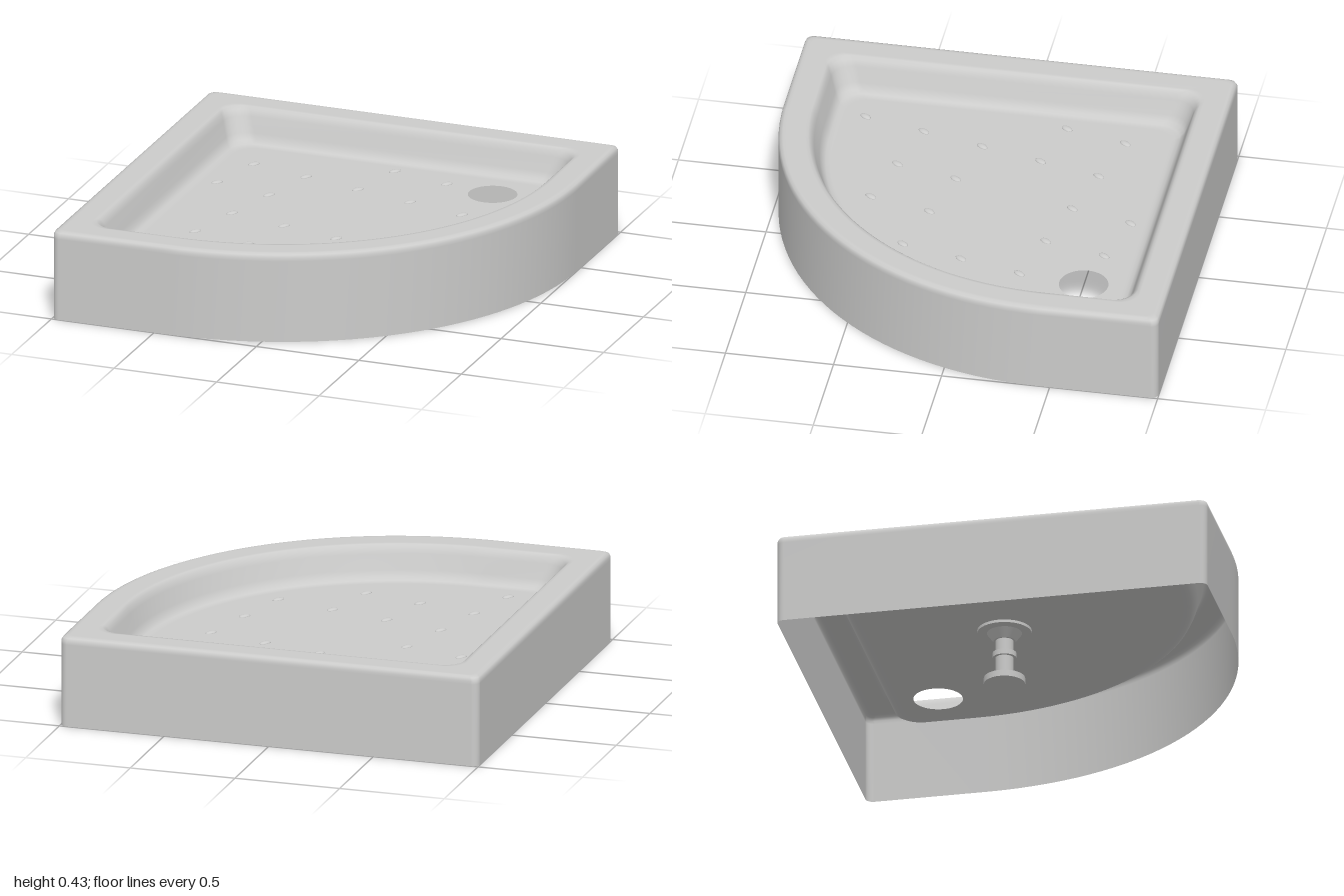
import * as THREE from 'three';

const ceramic = new THREE.MeshStandardMaterial({ color: 0xcccccb, side: THREE.DoubleSide });
ceramic.name = 'pale grey';

const FLOOR_Y = 0.27;
const CURVE_STEPS = 32, CORNER_STEPS = 6;
const bow = new THREE.CubicBezierCurve(
  new THREE.Vector2(1, -0.45), new THREE.Vector2(1, 0.365),
  new THREE.Vector2(0.365, 1), new THREE.Vector2(-0.45, 1));

// Quadrant outline as [x, z] points, moved inward by d, with three corners of radius r
function outline(d, r) {
  const pts = [];
  const corner = (sx, sz, start) => {
    for (let i = 0; i <= CORNER_STEPS; i++) {
      const a = start + (i / CORNER_STEPS) * Math.PI / 2;
      pts.push([sx * (1 - d - r) + r * Math.cos(a), sz * (1 - d - r) + r * Math.sin(a)]);
    }
  };
  corner(-1, -1, Math.PI);
  corner(1, -1, Math.PI * 1.5);
  for (let i = 0; i <= CURVE_STEPS; i++) {
    const p = bow.getPoint(i / CURVE_STEPS), t = bow.getTangent(i / CURVE_STEPS);
    pts.push([p.x - t.y * d, p.y + t.x * d]);
  }
  corner(-1, 1, Math.PI / 2);
  return pts;
}

// Skin between successive outlines, each given as [inset, height, corner radius]
function loft(profile) {
  const pos = [], index = [];
  let n = 0;
  for (const [d, y, r] of profile) {
    const ring = outline(d, r);
    n = ring.length;
    for (const [x, z] of ring) pos.push(x, y, z);
  }
  for (let k = 0; k < profile.length - 1; k++) {
    for (let i = 0; i < n; i++) {
      const a = k * n + i, b = k * n + (i + 1) % n;
      index.push(a, a + n, b, b, a + n, b + n);
    }
  }
  const g = new THREE.BufferGeometry();
  g.setAttribute('position', new THREE.Float32BufferAttribute(pos, 3));
  g.setIndex(index);
  g.computeVertexNormals();
  return g;
}

export function createModel() {
  const group = new THREE.Group();
  const add = (name, geometry, parent = group) => {
    const m = new THREE.Mesh(geometry, ceramic);
    m.name = name;
    parent.add(m);
    return m;
  };

  // Outer wall, rounded rim and sloping basin side
  add('wallAndRim', loft([
    [0, 0, 0.035], [0, 0.39, 0.035], [0, 0.405, 0.035], [0.006, 0.419, 0.035], [0.02, 0.425, 0.035],
    [0.035, 0.425, 0.035], [0.12, 0.425, 0.09], [0.135, 0.424, 0.1], [0.15, 0.412, 0.1], [0.162, 0.385, 0.1],
    [0.185, 0.315, 0.1], [0.198, 0.288, 0.1], [0.215, 0.274, 0.1], [0.235, FLOOR_Y, 0.1], [0.25, FLOOR_Y, 0.1],
  ]));

  // Basin floor with drain opening
  const shape = new THREE.Shape(outline(0.25, 0.1).map(([x, z]) => new THREE.Vector2(x, -z)));
  const drain = new THREE.Path();
  drain.absarc(0.542, 0.572, 0.113, 0, Math.PI * 2, true);
  shape.holes.push(drain);
  const floor = new THREE.ShapeGeometry(shape, 24);
  floor.rotateX(-Math.PI / 2);
  floor.translate(0, FLOOR_Y, 0);
  add('floor', floor);

  // Anti-slip studs on a slanted lattice: [row, columns]
  const studs = new THREE.Group();
  studs.name = 'studs';
  group.add(studs);
  const stud = new THREE.SphereGeometry(1, 16, 6, 0, Math.PI * 2, 0, Math.PI / 2);
  stud.scale(0.03, 0.009, 0.017);
  stud.rotateY(0.95);
  const rows = [[-1, [1, 2]], [0, [-1, 0, 1, 2, 3]], [1, [-1, 0, 3]], [2, [0, 1, 2, 3]], [3, [0, 1, 2]], [4, [0]]];
  for (const [j, columns] of rows) {
    for (const i of columns) {
      add('stud', stud, studs).position.set(-0.332 + 0.281 * i - 0.07 * j, FLOOR_Y, -0.478 + 0.07 * i + 0.283 * j);
    }
  }

  // Support foot under the floor: [name, bottom radius, top radius, bottom, top]
  const foot = new THREE.Group();
  foot.name = 'supportFoot';
  foot.position.set(-0.115, 0, -0.125);
  group.add(foot);
  for (const [name, rb, rt, y0, y1] of [
    ['footPad', 0.095, 0.095, 0, 0.03],
    ['footCone', 0.07, 0.042, 0.03, 0.055],
    ['footStem', 0.042, 0.042, 0.055, 0.235],
    ['footNut', 0.055, 0.055, 0.13, 0.155],
    ['footCollar', 0.05, 0.08, 0.215, 0.255],
    ['footFlange', 0.125, 0.125, 0.255, 0.268],
  ]) {
    add(name, new THREE.CylinderGeometry(rt, rb, y1 - y0, 32), foot).position.y = (y0 + y1) / 2;
  }
  return group;
}
